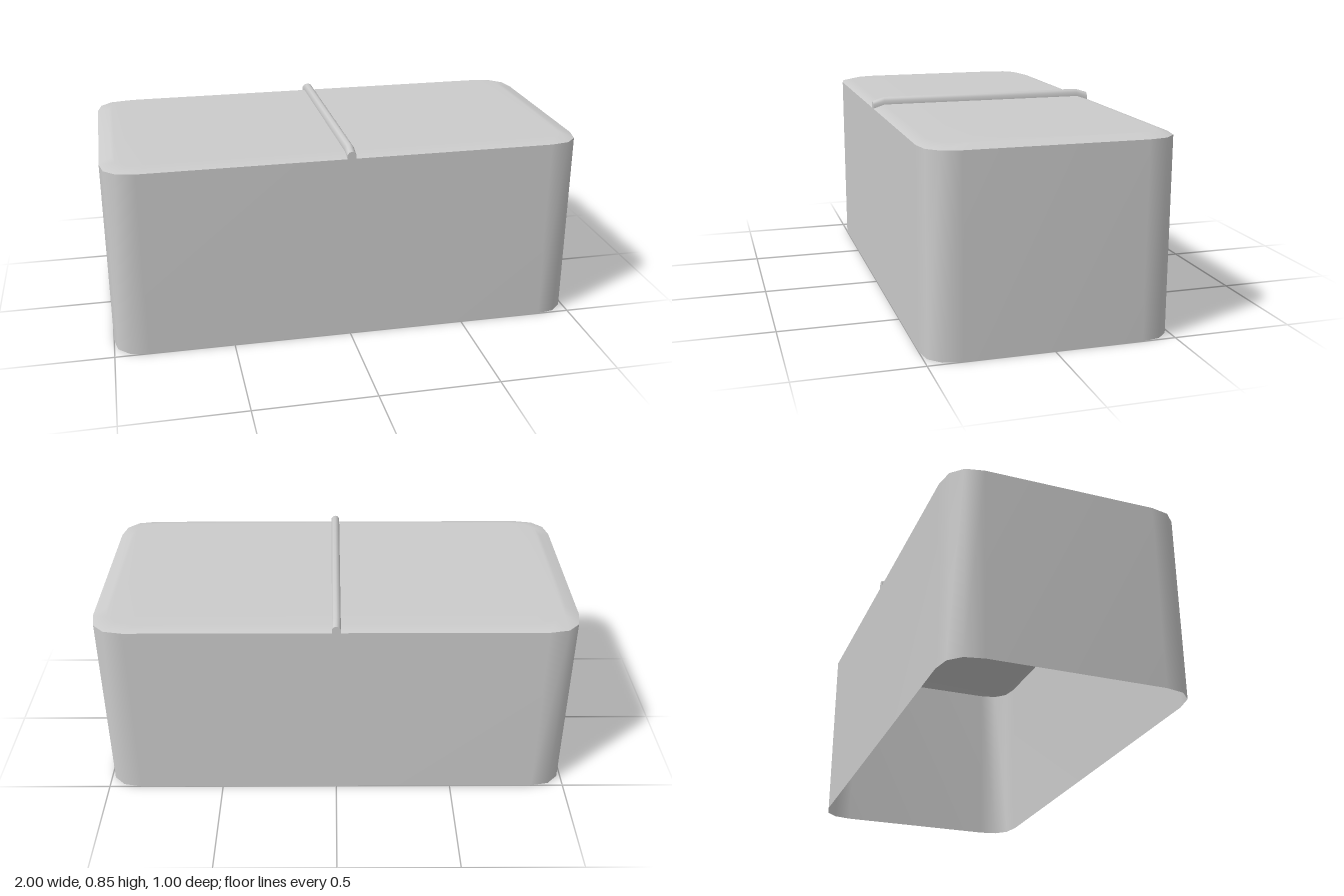
import * as THREE from 'three';
import { toCreasedNormals } from 'three/addons/utils/BufferGeometryUtils.js';

// Skin closed cross-sections of equal point count, with optional end caps.
function loft(rings, { startCap = false, endCap = false } = {}) {
  const n = rings[0].length, index = [];
  for (let j = 0; j < rings.length - 1; j++) {
    for (let i = 0; i < n; i++) {
      const a = j * n + i, b = j * n + (i + 1) % n;
      index.push(a, b, b + n, a, b + n, a + n);
    }
  }
  const cap = (base, flip) => {
    const tri = (a, b, c) => index.push(base + a, base + (flip ? c : b), base + (flip ? b : c));
    for (let i = 0, k = n - 1; i + 1 < k; i++, k--) {
      tri(i, i + 1, k);
      if (i + 1 < k - 1) tri(i + 1, k - 1, k);
    }
  };
  if (startCap) cap(0, true);
  if (endCap) cap((rings.length - 1) * n, false);
  const g = new THREE.BufferGeometry();
  g.setAttribute('position', new THREE.Float32BufferAttribute(rings.flat(2), 3));
  g.setIndex(index);
  g.computeVertexNormals();
  return g;
}

// Rounded rectangle at height y, each corner a three-segment quadratic curve.
function outline(hx, hz, r, y) {
  const ring = [];
  [[1, -1], [-1, -1], [-1, 1], [1, 1]].forEach(([sx, sz], c) => {
    for (let i = 0; i <= 3; i++) {
      const t = (c % 2 ? 3 - i : i) / 3;
      ring.push([sx * (hx - r * t * t), y, sz * (hz - r * (1 - t) ** 2)]);
    }
  });
  return ring;
}

export function createModel() {
  const group = new THREE.Group();
  const material = new THREE.MeshStandardMaterial({ color: 0xcccccc, side: THREE.DoubleSide });
  const add = (name, geometry) => {
    const mesh = new THREE.Mesh(geometry, material);
    mesh.name = name;
    group.add(mesh);
  };

  // Side walls, open underneath
  add('walls', loft([outline(1, 0.5, 0.14, 0), outline(1, 0.5, 0.14, 0.8)]));

  // Shallow lid with a sloping rim
  add('lid', loft([outline(1, 0.5, 0.14, 0.8), outline(0.95, 0.45, 0.13, 0.816)], { endCap: true }));

  // Rounded ridge across the middle, following the lid's profile
  const section = [[0.018, 0], [0.018, 0.017], [0.011, 0.027], [0, 0.031],
    [-0.011, 0.027], [-0.018, 0.017], [-0.018, 0]];
  const stations = [[-0.5, 0.8], [-0.45, 0.816], [0.45, 0.816], [0.5, 0.8]];
  const ridge = loft(stations.map(([z, y]) => section.map(([x, h]) => [x, y + h, z])),
    { startCap: true, endCap: true });
  add('ridge', toCreasedNormals(ridge, 0.8));

  return group;
}
